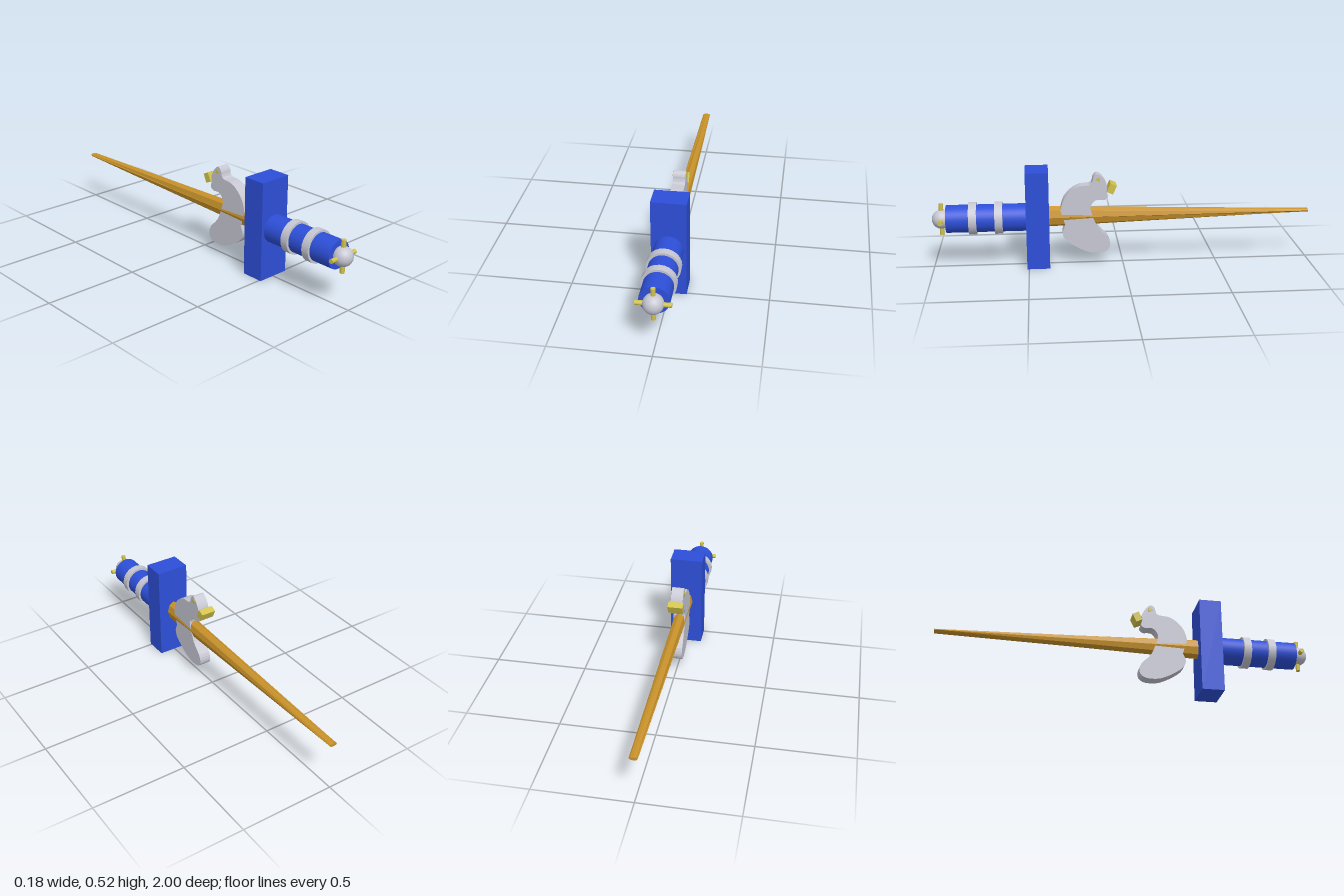
import * as THREE from 'three';

const material = (name, color) => {
  const m = new THREE.MeshStandardMaterial({ color });
  m.name = name;
  return m;
};

export function createModel() {
  const group = new THREE.Group();
  const blue = material('blue', 0x2d4fd8);
  const silver = material('silver', 0xc6c7d2);
  const gold = material('gold', 0xc8922a);
  const yellow = material('yellow', 0xd2c24c);
  const axisY = 0.262;

  const add = (name, geometry, mat, x, y, z) => {
    const mesh = new THREE.Mesh(geometry, mat);
    mesh.name = name;
    mesh.position.set(x, y, z);
    group.add(mesh);
    return mesh;
  };
  const rod = (radius, length, sides) =>
    new THREE.CylinderGeometry(radius, radius, length, sides).rotateX(Math.PI / 2);

  // Guard and grip with two bands
  add('guard', new THREE.BoxGeometry(0.176, 0.52, 0.12), blue, 0, 0.26, 0.45);
  add('grip', rod(0.073, 0.42, 32), blue, 0, axisY, 0.715);
  for (const z of [0.652, 0.787]) add('gripBand', rod(0.085, 0.041, 24), silver, 0, axisY, z);

  // Pommel ball with four pegs
  add('pommel', new THREE.SphereGeometry(0.05, 32, 20), silver, 0, axisY, 0.95);
  for (let i = 0; i < 4; i++) {
    const a = (i * Math.PI) / 2;
    const peg = add('pommelPeg', new THREE.CylinderGeometry(0.012, 0.012, 0.045, 10), yellow,
      -Math.sin(a) * 0.0625, axisY + Math.cos(a) * 0.0625, 0.95);
    peg.rotation.z = a;
  }

  // Faceted blade tapering to a thin flat tip
  const blade = rod(1, 1, 8).toNonIndexed();
  const p = blade.attributes.position;
  for (let i = 0; i < p.count; i++) {
    const t = p.getZ(i) + 0.5;
    p.setXYZ(i,
      p.getX(i) * THREE.MathUtils.lerp(0.021, 0.037, t),
      p.getY(i) * THREE.MathUtils.lerp(0.009, 0.056, t),
      THREE.MathUtils.lerp(-1, 0.395, t));
  }
  blade.computeVertexNormals();
  add('blade', blade, gold, 0, axisY, 0);

  // Flat bird ornament, outlined as (z, y)
  const outline = [
    [0.33, 0.3], [0.315, 0.353], [0.283, 0.396], [0.235, 0.428], [0.17, 0.438],
    [0.155, 0.476], [0.134, 0.492], [0.107, 0.47], [0.086, 0.433], [0.086, 0.396],
    [0.08, 0.37], [0.1, 0.353], [0.144, 0.353], [0.17, 0.32], [0.166, 0.283],
    [0.134, 0.203], [0.08, 0.144], [0.07, 0.096], [0.1, 0.066], [0.17, 0.064],
    [0.235, 0.09], [0.3, 0.134], [0.32, 0.176], [0.305, 0.22],
  ].map(([z, y]) => new THREE.Vector2(z, y));
  const shape = new THREE.Shape();
  shape.moveTo(outline[0].x, outline[0].y);
  shape.splineThru(outline.slice(1));
  shape.closePath();
  const bird = new THREE.ExtrudeGeometry(shape, { depth: 0.064, bevelEnabled: false, curveSegments: 3 });
  bird.translate(0, 0, -0.032).rotateY(-Math.PI / 2);
  add('bird', bird, silver, 0, 0, 0);

  // Beak block and triangular eyes
  const beak = add('beak', new THREE.BoxGeometry(0.08, 0.05, 0.036), yellow, 0, 0.414, 0.06);
  beak.rotation.x = -0.43;
  for (const s of [-1, 1]) {
    const eye = new THREE.CylinderGeometry(0.016, 0.016, 0.006, 3).rotateZ(Math.PI / 2);
    add('eye', eye, yellow, s * 0.033, 0.464, 0.13);
  }
  return group;
}
